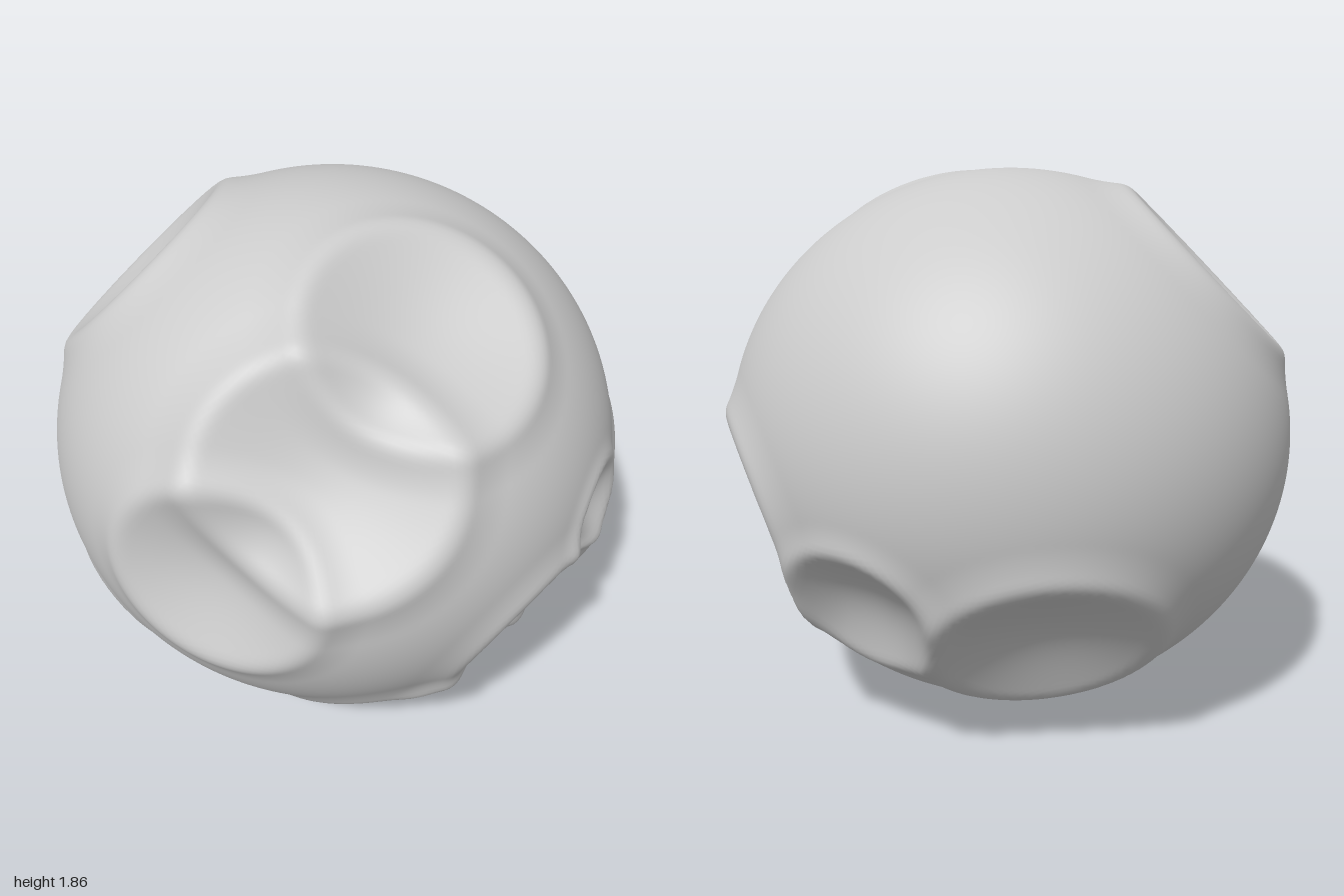
import * as THREE from 'three';
import { mergeVertices } from 'three/addons/utils/BufferGeometryUtils.js';

// Slightly flattened ball
const RADII = new THREE.Vector3(0.97, 0.92, 0.98);
const CENTRE = [0, 0.95, -0.015];

// Craters: direction from the centre (x, y, z) and rim radius
const CRATERS = [
  [-0.28, 0.66, -0.66, 0.37],  // upper back
  [-0.22, 0.78, 0.52, 0.36],   // upper front
  [-0.68, 0.45, 0.50, 0.38],   // upper front, right side
  [-0.92, 0.07, 0.26, 0.33],   // right side
  [-0.63, -0.62, -0.48, 0.31], // lower back, right side
  [0.68, -0.29, 0.62, 0.38],   // front, left side
  [0.86, -0.48, 0.03, 0.25],   // small, left side
  [0.60, -0.63, -0.50, 0.35],  // lower back, left side
  [-0.03, -0.39, 0.90, 0.34],  // front middle
  [0.20, -0.03, 0.94, 0.20],   // small, front
  [-0.13, -0.70, 0.68, 0.27],  // lower front
  [-0.17, -0.87, 0.42, 0.41],  // underside
].map(([x, y, z, r]) => ({ dir: new THREE.Vector3(x, y, z).normalize(), r }));

// Minimum of two values with a blended crossing
function smoothMin(a, b, k) {
  const h = THREE.MathUtils.clamp((b - a + k) / (2 * k), 0, 1);
  return a * h + b * (1 - h) - k * h * (1 - h);
}

// Shallow bowl with a low, soft raised rim, t = distance / rim radius
function craterHeight(t) {
  const reach = 1.45;
  if (t > reach) return 0;
  const rim = 0.5 * (reach - t) ** 2;
  const bowl = 0.4 * (t * t - 0.87);
  return smoothMin(bowl, rim, 0.13);
}

export function createModel() {
  const group = new THREE.Group();
  group.name = 'crateredRock';

  // Indexed sphere so that the normals come out smooth
  let geometry = new THREE.IcosahedronGeometry(1, 56);
  geometry.deleteAttribute('normal');
  geometry.deleteAttribute('uv');
  geometry = mergeVertices(geometry, 1e-5);

  // Press every crater into the ball
  const pos = geometry.attributes.position;
  const v = new THREE.Vector3();
  for (let i = 0; i < pos.count; i++) {
    v.fromBufferAttribute(pos, i).normalize();
    let height = 1;
    for (const { dir, r } of CRATERS) {
      height += r * craterHeight(v.distanceTo(dir) * RADII.x / r);
    }
    v.multiplyScalar(height).multiply(RADII);
    pos.setXYZ(i, v.x, v.y, v.z);
  }
  geometry.computeVertexNormals();

  const rock = new THREE.Mesh(geometry, new THREE.MeshStandardMaterial({ color: 0xcccccc }));
  rock.name = 'rock';
  rock.position.set(...CENTRE);
  group.add(rock);
  return group;
}
